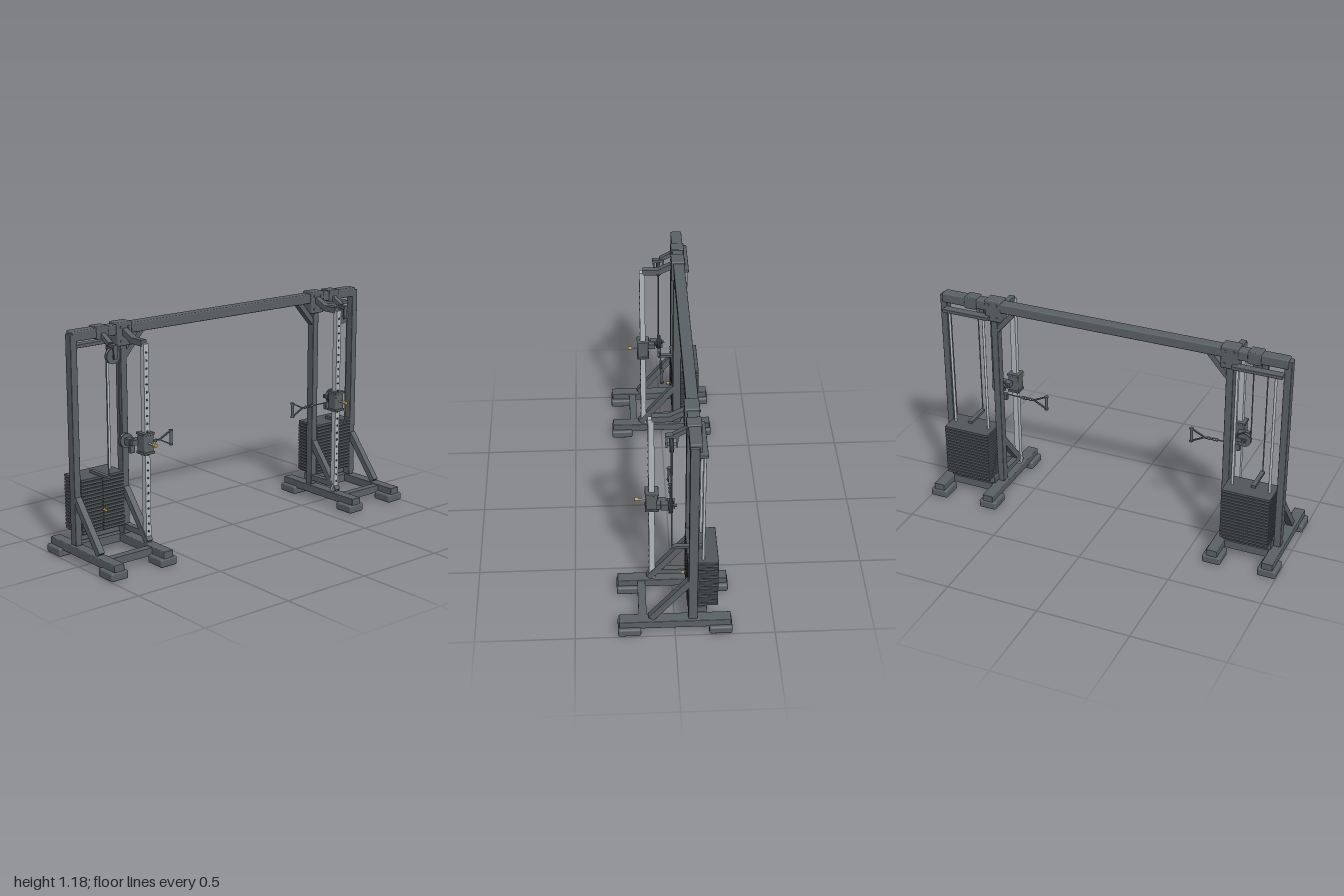
import * as THREE from 'three';
import { RoundedBoxGeometry } from 'three/addons/geometries/RoundedBoxGeometry.js';

const material = (name, color) => {
  const m = new THREE.MeshStandardMaterial({ color });
  m.name = name;
  return m;
};

export function createModel() {
  const frame = material('frame grey', 0x5b6265);
  const plate = material('plate grey', 0x52585b);
  const chrome = material('chrome', 0xb4babd);
  const cableGrey = material('cable grey', 0x7d8487);
  const brass = material('brass', 0xb39b45);
  const dark = material('dark hole', 0x2c2f31);

  const model = new THREE.Group();
  model.name = 'cableCrossover';

  function add(parent, name, geometry, mat, x = 0, y = 0, z = 0) {
    const mesh = new THREE.Mesh(geometry, mat);
    mesh.name = name;
    mesh.position.set(x, y, z);
    parent.add(mesh);
    return mesh;
  }

  // Main beam joining both towers
  add(model, 'topBeam', new RoundedBoxGeometry(1.9, 0.052, 0.06, 2, 0.006), frame, 0, 1.148, -0.095);

  function tower(s) {
    const g = new THREE.Group();
    g.name = s > 0 ? 'leftTower' : 'rightTower';
    model.add(g);

    // Box given by its limits; x is mirrored by s
    const box = (name, mat, x0, x1, y0, y1, z0, z1, r = 0) => add(g, name,
      r ? new RoundedBoxGeometry(x1 - x0, y1 - y0, z1 - z0, 2, r) : new THREE.BoxGeometry(x1 - x0, y1 - y0, z1 - z0),
      mat, s * (x0 + x1) / 2, (y0 + y1) / 2, (z0 + z1) / 2);

    // Bar between two points, round (radius) or rectangular ([x, z] section)
    const bar = (name, mat, a, b, size, sides = 12) => {
      const p = new THREE.Vector3(s * a[0], a[1], a[2]);
      const q = new THREE.Vector3(s * b[0], b[1], b[2]);
      const len = p.distanceTo(q);
      const geo = Array.isArray(size) ? new THREE.BoxGeometry(size[0], len, size[1])
        : new THREE.CylinderGeometry(size, size, len, sides);
      const mid = p.clone().add(q).multiplyScalar(0.5);
      const mesh = add(g, name, geo, mat, mid.x, mid.y, mid.z);
      mesh.quaternion.setFromUnitVectors(new THREE.Vector3(0, 1, 0), q.sub(p).normalize());
      return mesh;
    };

    // Base: feet, side rails, posts and diagonal braces
    for (const x of [0.65, 0.95]) {
      for (const z of [0.228, -0.228])
        box('foot', frame, x - 0.05, x + 0.05, 0, 0.045, z - 0.058, z + 0.058, 0.01);
      box('baseRail', frame, x - 0.03, x + 0.03, 0.035, 0.08, -0.28, 0.28, 0.004);
      const px = x > 0.8 ? 0.948 : 0.652;
      box('post', frame, px - 0.019, px + 0.019, 0.08, 1.16, -0.112, -0.066, 0.004);
      bar('brace', frame, [px, 0.085, 0.12], [px, 0.325, -0.075], [0.034, 0.034]);
    }
    box('frontCrossbar', frame, 0.66, 0.94, 0.036, 0.076, 0.14, 0.18);
    box('rearCrossbar', frame, 0.66, 0.94, 0.036, 0.08, -0.16, -0.09);
    box('stackSupport', frame, 0.665, 0.93, 0.085, 0.126, -0.16, -0.11, 0.004);
    box('columnLink', frame, 0.635, 0.665, 0.105, 0.135, -0.07, 0.1);

    // Joint box on the beam, collar, gusset and bolts
    box('beamJoint', frame, 0.606, 0.696, 1.065, 1.185, -0.127, -0.054, 0.006);
    box('beamCollar', frame, 0.745, 0.815, 1.115, 1.18, -0.13, -0.058, 0.005);
    bar('gusset', frame, [0.535, 1.13, -0.09], [0.64, 1.01, -0.09], [0.028, 0.04]);
    for (const x of [0.628, 0.674]) for (const y of [1.09, 1.16])
      bar('bolt', frame, [x, y, -0.131], [x, y, -0.05], 0.007, 8);

    // Upper arm and perforated column
    bar('upperArmSlope', frame, [0.65, 1.145, -0.07], [0.65, 1.105, 0.015], [0.032, 0.03]);
    box('upperArm', frame, 0.634, 0.666, 1.089, 1.12, 0, 0.1);
    box('column', chrome, 0.635, 0.665, 0.08, 1.103, 0.088, 0.118);
    for (let i = 0; i < 24; i++) {
      const y = 0.14 + i * 0.04;
      bar('columnHole', dark, [0.65, y, 0.114], [0.65, y, 0.12], 0.006, 10);
    }

    // Weight stack with selector pin
    const plates = 16;
    for (let i = 0; i < plates; i++) {
      const y = 0.132 + i * 0.0182;
      box('weightPlate', plate, 0.667, 0.929, y, y + 0.0145, -0.215, -0.062, 0.003);
      if (i < plates - 1) bar('plateHole', dark, [0.8, y + 0.007, -0.0625], [0.8, y + 0.007, -0.06], 0.004, 8);
    }
    box('stackCore', plate, 0.675, 0.921, 0.126, 0.41, -0.205, -0.075);
    bar('selectorPin', brass, [0.8, 0.243, -0.07], [0.8, 0.243, -0.045], 0.004);
    bar('selectorKnob', brass, [0.8, 0.243, -0.052], [0.8, 0.243, -0.037], 0.008);
    box('stackArm', frame, 0.802, 0.824, 0.423, 0.437, -0.14, 0.012);

    // Guide rods and their top bracket
    for (const x of [0.7, 0.9]) bar('guideRod', chrome, [x, 0.1, -0.14], [x, 1.085, -0.14], 0.007);
    box('rodBracket', frame, 0.67, 0.935, 1.078, 1.096, -0.153, -0.105, 0.003);

    // Grooved pulley turning about z
    const pulley = (name, x, y, z, r) => {
      const pts = [[0.008, -0.01], [r, -0.01], [r, -0.006], [r * 0.84, 0], [r, 0.006], [r, 0.01], [0.008, 0.01]];
      const wheel = add(g, name, new THREE.LatheGeometry(pts.map(p => new THREE.Vector2(...p)), 28), frame, s * x, y, z);
      wheel.geometry = wheel.geometry.toNonIndexed();
      wheel.geometry.computeVertexNormals();
      wheel.rotation.x = Math.PI / 2;
      bar(name + 'Axle', frame, [x, y, z - 0.03], [x, y, z + 0.03], 0.008);
    };

    // Upper pulley hung from the beam collar
    pulley('upperPulley', 0.775, 1.043, 0.01, 0.04);
    bar('pulleyArm', frame, [0.78, 1.14, -0.07], [0.78, 1.1, 0.0], [0.026, 0.022]);
    box('pulleyYokeTop', frame, 0.763, 0.79, 1.088, 1.102, -0.022, 0.042);
    for (const z of [-0.016, 0.035]) box('pulleyYokeSide', frame, 0.763, 0.787, 1.03, 1.095, z - 0.004, z + 0.004);

    // Sliding carriage with locking knob and lower pulley
    box('carriage', frame, 0.621, 0.681, 0.555, 0.645, 0.072, 0.132, 0.005);
    for (const y of [0.545, 0.643]) box('carriageCollar', frame, 0.617, 0.685, y, y + 0.013, 0.068, 0.136, 0.003);
    bar('lockPin', chrome, [0.65, 0.602, 0.13], [0.65, 0.602, 0.172], 0.005);
    bar('lockKnob', brass, [0.65, 0.602, 0.166], [0.65, 0.602, 0.186], 0.01);
    box('pulleyMount', frame, 0.655, 0.715, 0.588, 0.616, 0.035, 0.08);
    box('mountPlate', frame, 0.685, 0.722, 0.585, 0.62, 0.022, 0.06, 0.003);
    pulley('lowerPulley', 0.705, 0.602, 0.01, 0.038);
    for (const z of [-0.006, 0.026]) box('lowerYoke', frame, 0.66, 0.72, 0.592, 0.612, z - 0.003, z + 0.003);
    box('cableGuide', frame, 0.655, 0.685, 0.53, 0.57, 0, 0.02, 0.003);

    // Cables
    bar('stackCable', cableGrey, [0.813, 0.43, 0.01], [0.813, 1.045, 0.01], 0.0035, 8);
    bar('carriageCable', cableGrey, [0.74, 0.602, 0.01], [0.738, 1.045, 0.01], 0.0035, 8);
    bar('handleCable', cableGrey, [0.7, 0.567, 0.008], [0.555, 0.566, 0.006], 0.0035, 8);

    // Chain, clip and triangular handle
    bar('cableStop', frame, [0.565, 0.566, 0.006], [0.55, 0.566, 0.006], 0.008);
    for (let i = 0; i < 4; i++) {
      const link = add(g, 'chainLink', new THREE.TorusGeometry(0.008, 0.0025, 6, 12), cableGrey,
        s * (0.543 - i * 0.014), 0.566, 0.006);
      if (i % 2) link.rotation.x = Math.PI / 2;
    }
    for (const y of [0.528, 0.602]) {
      bar('handleStrap', frame, [0.492, 0.566, 0.006], [0.418, y, 0.006], [0.006, 0.01]);
      bar('gripCap', frame, [0.418, y - 0.004, 0.006], [0.418, y + 0.004, 0.006], 0.011);
    }
    bar('grip', frame, [0.418, 0.528, 0.006], [0.418, 0.602, 0.006], 0.008);
  }

  tower(1);
  tower(-1);
  return model;
}
